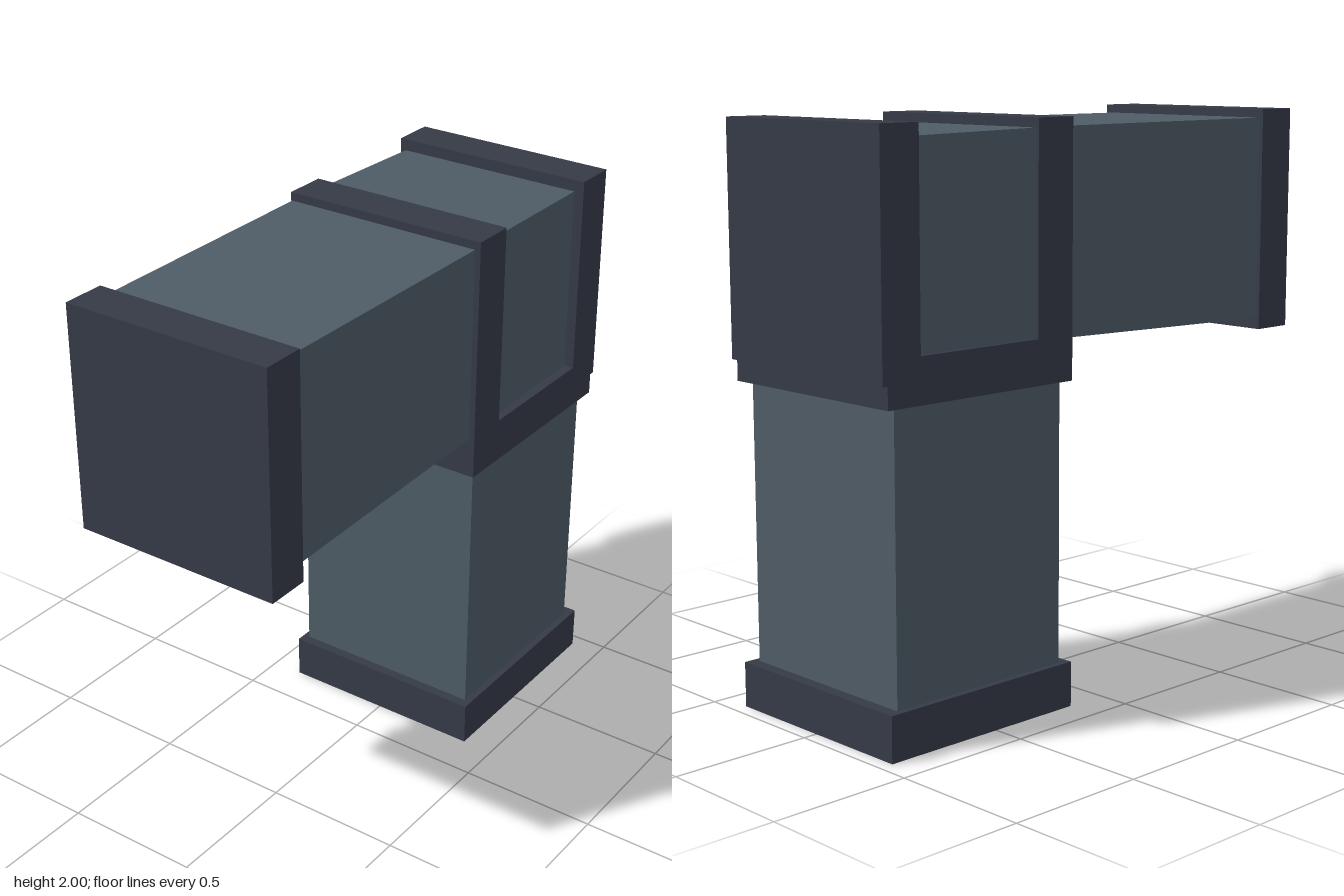
import * as THREE from 'three';

export function createModel() {
  const model = new THREE.Group();
  const frameMat = new THREE.MeshStandardMaterial({ color: 0x353a46 });
  frameMat.name = 'dark frame';
  const ductMat = new THREE.MeshStandardMaterial({ color: 0x4e5c66 });
  ductMat.name = 'slate duct';

  const add = (name, geometry, material) => {
    const mesh = new THREE.Mesh(geometry, material);
    mesh.name = name;
    model.add(mesh);
    return mesh;
  };

  // Box given by its limits on each axis
  const block = (name, material, [x0, x1], [y0, y1], [z0, z1]) => {
    const g = new THREE.BoxGeometry(x1 - x0, y1 - y0, z1 - z0);
    g.translate((x0 + x1) / 2, (y0 + y1) / 2, (z0 + z1) / 2);
    return add(name, g, material);
  };

  const depth = [-0.385, 0.385];

  // Upright duct and its flange
  block('baseFlange', frameMat, [0.15, 0.95], [0, 0.158], depth);
  block('uprightDuct', ductMat, [0.187, 0.907], [0.15, 1.2], [-0.362, 0.36]);

  // Flange at the far end of the horizontal duct
  block('endFlange', frameMat, [-0.975, -0.82], [1.205, 2], depth);

  // Elbow frame: inner band, lower band and outer plate in one outline
  const outline = new THREE.Shape([
    [0.15, 1.13], [0.95, 1.13], [0.95, 1.205], [0.97, 1.205], [0.97, 2],
    [0.815, 2], [0.815, 1.285], [0.307, 1.285], [0.307, 2], [0.15, 2],
  ].map(([x, y]) => new THREE.Vector2(x, y)));
  const elbow = new THREE.ExtrudeGeometry(outline, { depth: 0.77, bevelEnabled: false });
  elbow.translate(0, 0, -0.385);
  add('elbowFrame', elbow, frameMat);

  // Slightly tapered horizontal duct: x, bottom, top, back, front
  const loft = (name, a, b) => {
    const g = new THREE.BoxGeometry(1, 1, 1);
    const p = g.attributes.position;
    for (let i = 0; i < p.count; i++) {
      const s = p.getX(i) < 0 ? a : b;
      p.setXYZ(i, s[0], p.getY(i) < 0 ? s[1] : s[2], p.getZ(i) < 0 ? s[3] : s[4]);
    }
    g.computeVertexNormals();
    return add(name, g, ductMat);
  };
  loft('horizontalDuct', [-0.83, 1.245, 1.97, -0.37, 0.352], [0.16, 1.275, 1.97, -0.38, 0.364]);
  loft('elbowDuct', [0.3, 1.28, 1.968, -0.375, 0.357], [0.82, 1.28, 1.958, -0.364, 0.348]);

  return model;
}
